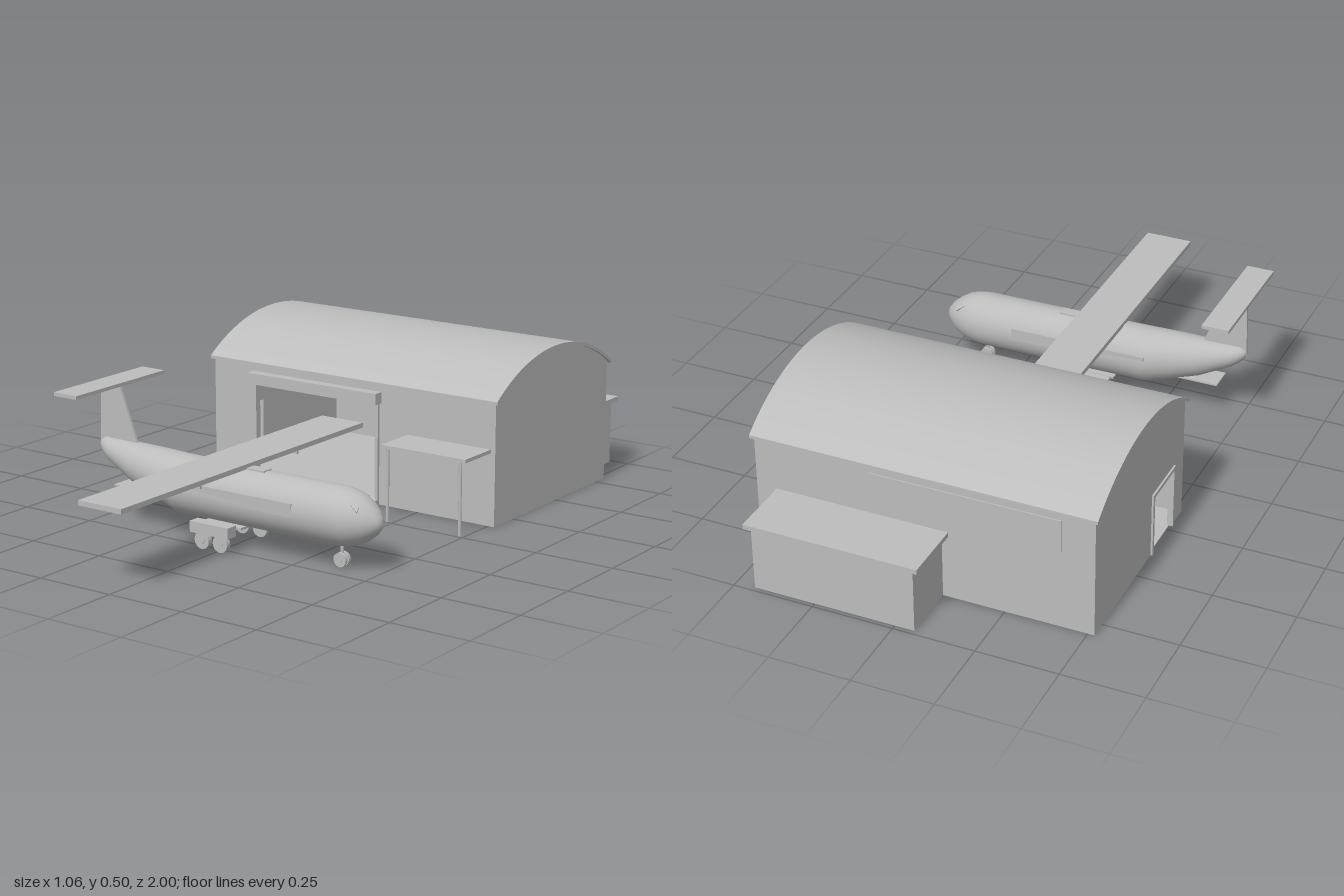
import * as THREE from 'three';
import { mergeVertices, toCreasedNormals } from 'three/addons/utils/BufferGeometryUtils.js';

const grey = new THREE.MeshStandardMaterial({ color: 0xbcbcbc });
grey.name = 'light grey';

function add(parent, name, geometry) {
  const mesh = new THREE.Mesh(geometry, grey);
  mesh.name = name;
  parent.add(mesh);
  return mesh;
}

// Box given by its extents on each axis
function box(parent, name, [x0, x1], [y0, y1], [z0, z1]) {
  const g = new THREE.BoxGeometry(x1 - x0, y1 - y0, z1 - z0);
  g.translate((x0 + x1) / 2, (y0 + y1) / 2, (z0 + z1) / 2);
  return add(parent, name, g);
}

function polygon(points) {
  return new THREE.Shape(points.map(([x, y]) => new THREE.Vector2(x, y)));
}

function extrude(shape, depth) {
  return new THREE.ExtrudeGeometry(shape, { depth, bevelEnabled: false });
}

// Curved roof line across the depth of the hangar
const ROOF_RADIUS = 0.58;
const roofY = (u) => Math.sqrt(ROOF_RADIUS ** 2 - u * u) - ROOF_RADIUS + 0.495;
function roofLine(half, drop, steps = 40) {
  return Array.from({ length: steps + 1 }, (_, i) => {
    const u = half - (2 * half * i) / steps;
    return [u, roofY(u) - drop];
  });
}

function createHangar() {
  const hangar = new THREE.Group();
  hangar.name = 'hangar';
  const midZ = -0.474;

  // Arched roof shell
  const shell = polygon([...roofLine(0.34, 0), ...roofLine(0.34, 0.01).reverse()]);
  const roof = extrude(shell, 1.06).rotateY(Math.PI / 2).translate(-0.53, 0, midZ);
  add(hangar, 'roof', toCreasedNormals(roof, 0.5));

  // Gable walls, with a doorway in the right one
  for (const side of [-1, 1]) {
    const outline = [[-0.33, 0], [0.33, 0], ...roofLine(0.33, 0.008)];
    if (side < 0) outline.splice(1, 0, [-0.245, 0], [-0.245, 0.195], [-0.095, 0.195], [-0.095, 0]);
    const wall = extrude(polygon(outline), 0.012).rotateY(Math.PI / 2);
    wall.translate(side < 0 ? -0.52 : 0.508, 0, midZ);
    add(hangar, 'gableWall', wall);
  }

  // Front wall with the large opening, and back wall
  const front = polygon([[-0.51, 0], [-0.353, 0], [-0.353, 0.32], [0.097, 0.32],
    [0.097, 0], [0.51, 0], [0.51, 0.388], [-0.51, 0.388]]);
  add(hangar, 'frontWall', extrude(front, 0.012).translate(0, 0, -0.156));
  box(hangar, 'backWall', [-0.51, 0.51], [0, 0.388], [-0.804, -0.792]);
  box(hangar, 'floor', [-0.515, 0.515], [0, 0.004], [-0.8, -0.146]);

  // Main door frame and header
  for (const x of [-0.364, 0.097]) box(hangar, 'doorPost', [x, x + 0.011], [0, 0.32], [-0.15, -0.135]);
  box(hangar, 'doorHeader', [-0.37, 0.115], [0.32, 0.355], [-0.145, -0.112]);

  // Side door frame
  for (const z of [-0.39, -0.229]) box(hangar, 'sideDoorPost', [-0.526, -0.515], [0, 0.195], [z, z + 0.011]);
  box(hangar, 'sideDoorLintel', [-0.526, -0.515], [0.195, 0.206], [-0.39, -0.218]);

  // Long window on the back wall
  box(hangar, 'backWindow', [-0.42, 0.16], [0.251, 0.353], [-0.808, -0.803]);

  // Rear annex
  box(hangar, 'annex', [-0.06, 0.44], [0, 0.205], [-0.985, -0.8]);
  box(hangar, 'annexRoof', [-0.08, 0.457], [0.204, 0.219], [-1, -0.8]);

  // Front canopy on two posts
  box(hangar, 'canopy', [0.21, 0.505], [0.225, 0.236], [-0.145, -0.003]);
  for (const x of [0.23, 0.485]) {
    const post = new THREE.CylinderGeometry(0.005, 0.005, 0.228, 12);
    add(hangar, 'canopyPost', post.translate(x, 0.114, -0.009));
  }
  return hangar;
}

// Fuselage stations: x, centre height, radius
const STATIONS = [
  [-0.511, 0.225, 0], [-0.504, 0.225, 0.014], [-0.487, 0.22, 0.028], [-0.465, 0.211, 0.036],
  [-0.364, 0.184, 0.062], [-0.28, 0.168, 0.076], [-0.19, 0.152, 0.088], [0, 0.15, 0.087],
  [0.375, 0.149, 0.086], [0.405, 0.149, 0.082], [0.435, 0.149, 0.073], [0.462, 0.148, 0.058],
  [0.485, 0.147, 0.039], [0.5, 0.146, 0.02], [0.509, 0.145, 0],
];

function fuselageGeometry() {
  let g = new THREE.LatheGeometry(STATIONS.map(([x, , r]) => new THREE.Vector2(r, x)), 32);
  g.rotateZ(-Math.PI / 2);
  const p = g.attributes.position;
  for (let i = 0; i < p.count; i++) {
    const s = STATIONS[i % STATIONS.length];
    p.setXYZ(i, s[0], p.getY(i) + s[1], p.getZ(i) * 0.95);
  }
  g.deleteAttribute('uv');
  g.deleteAttribute('normal');
  g = mergeVertices(g, 1e-5);
  g.computeVertexNormals();
  return g;
}

function wheel(parent, x, z, r, width) {
  const tyre = new THREE.CylinderGeometry(r, r, width, 20).rotateX(Math.PI / 2);
  add(parent, 'wheel', tyre.translate(x, r, z));
  const hub = new THREE.CylinderGeometry(r * 0.4, r * 0.4, width + 0.004, 12).rotateX(Math.PI / 2);
  add(parent, 'wheelHub', hub.translate(x, r, z));
}

function createAircraft() {
  const plane = new THREE.Group();
  plane.name = 'aircraft';
  plane.position.z = 0.425;
  add(plane, 'fuselage', fuselageGeometry());

  // High wing with its centre fairing
  box(plane, 'wing', [-0.104, 0.048], [0.235, 0.25], [-0.567, 0.575]);
  box(plane, 'wingFairing', [-0.1, 0.11], [0.225, 0.239], [-0.018, 0.018]);

  // T tail
  const fin = polygon([[-0.51, 0.22], [-0.37, 0.22], [-0.37, 0.246], [-0.432, 0.408], [-0.504, 0.408]]);
  add(plane, 'fin', extrude(fin, 0.008).translate(0, 0, -0.004));
  box(plane, 'tailplane', [-0.517, -0.431], [0.407, 0.418], [-0.205, 0.2]);

  // Rear loading ramp
  box(plane, 'ramp', [-0.43, -0.28], [0.112, 0.117], [-0.04, 0.04]);

  for (const side of [-1, 1]) {
    // Cabin stripe, cockpit pane and flap fairing
    box(plane, 'cabinStripe', [-0.2, 0.25], [0.142, 0.181], [side * 0.08 - 0.002, side * 0.08 + 0.002]);
    const pane = extrude(polygon([[-0.014, 0.007], [0.014, -0.009], [0.014, 0.009]]), 0.006);
    const window = add(plane, 'cockpitWindow', pane.translate(0, 0, -0.003));
    window.position.set(0.442, 0.194, side * 0.05);
    window.rotation.set(-side * 0.75, side * 0.4, 0);
    box(plane, 'flapFairing', [-0.025, 0.048], [0.226, 0.236], [side * 0.23 - 0.003, side * 0.23 + 0.003]);

    // Main gear pod with two wheels
    box(plane, 'gearPod', [-0.088, 0.05], [0.048, 0.081], [side * 0.093 - 0.019, side * 0.093 + 0.019]);
    for (const x of [-0.052, 0.014]) wheel(plane, x, side * 0.095, 0.026, 0.016);

    // Nose wheel
    wheel(plane, 0.37, side * 0.008, 0.021, 0.01);
  }

  // Belly plate and nose leg
  box(plane, 'bellyPlate', [-0.088, 0.05], [0.06, 0.067], [-0.05, 0.05]);
  add(plane, 'noseLeg', new THREE.CylinderGeometry(0.005, 0.005, 0.055, 12).translate(0.37, 0.047, 0));
  return plane;
}

export function createModel() {
  const model = new THREE.Group();
  model.name = 'airfield';
  model.add(createHangar(), createAircraft());
  return model;
}
